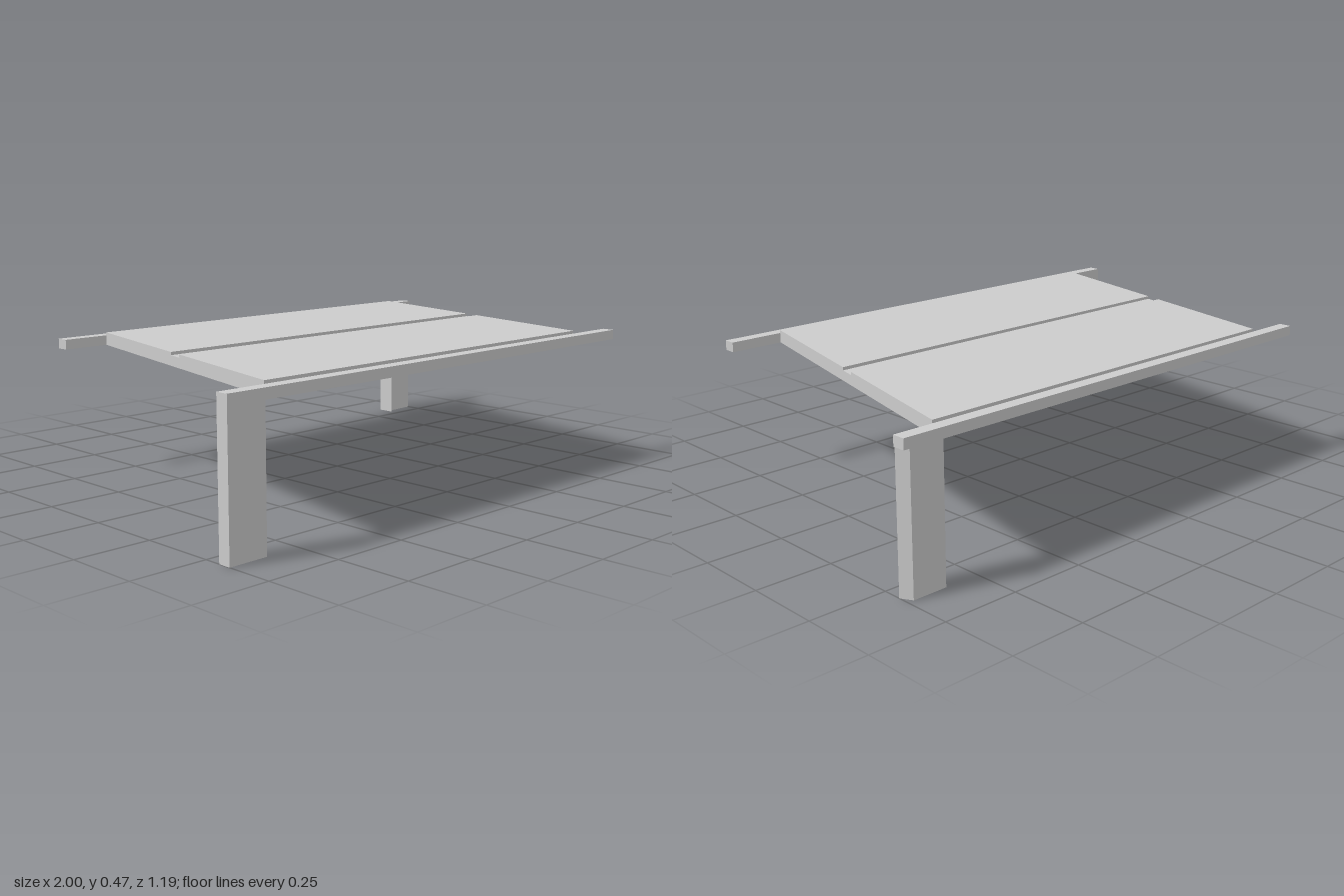
import * as THREE from 'three';

const material = new THREE.MeshStandardMaterial({ color: 0xcccccc, flatShading: true });

// Upright prism from a floor-plan outline of [x, z] corners
function prism(name, outline, y0, y1) {
  const shape = new THREE.Shape(outline.map(([x, z]) => new THREE.Vector2(x, -z)));
  const geometry = new THREE.ExtrudeGeometry(shape, { depth: y1 - y0, bevelEnabled: false });
  geometry.rotateX(-Math.PI / 2).translate(0, y0, 0);
  const mesh = new THREE.Mesh(geometry, material);
  mesh.name = name;
  return mesh;
}

const rect = (x0, x1, z0, z1) => [[x0, z0], [x0, z1], [x1, z1], [x1, z0]];

// Slanted plan of the top between two depths
const leftEdge = z => -0.7 - 0.242 * z;
const rightEdge = z => 0.734 - 0.24 * z;
const slanted = (z0, z1) => [
  [leftEdge(z0), z0], [leftEdge(z1), z1], [rightEdge(z1), z1], [rightEdge(z0), z0],
];

export function createModel() {
  const group = new THREE.Group();
  group.name = 'slantedTable';
  const under = 0.43, railTop = 0.463, panelTop = 0.473, inner = 0.555, outer = 0.597;

  // Table top: a base slab with two raised panels and a groove between them
  group.add(
    prism('topSlab', slanted(-inner, inner), under, railTop),
    prism('frontPanel', slanted(0.028, inner), railTop, panelTop),
    prism('backPanel', slanted(-inner, -0.032), railTop, panelTop),
  );

  // Long rails, shifted to opposite sides
  group.add(
    prism('frontRail', rect(-1, 0.787, inner, outer), under, railTop),
    prism('backRail', rect(-0.728, 1, -outer, -inner), under, railTop),
  );

  // One leg under the outer end of each rail; the back one has an uneven plan
  group.add(
    prism('frontLeg', rect(-1, -0.868, inner, outer), 0, under),
    prism('backLeg', [
      [0.865, -0.597], [0.865, -0.534], [0.89, -0.553], [1, -0.56], [0.98, -0.597],
    ], 0, under),
  );
  return group;
}
